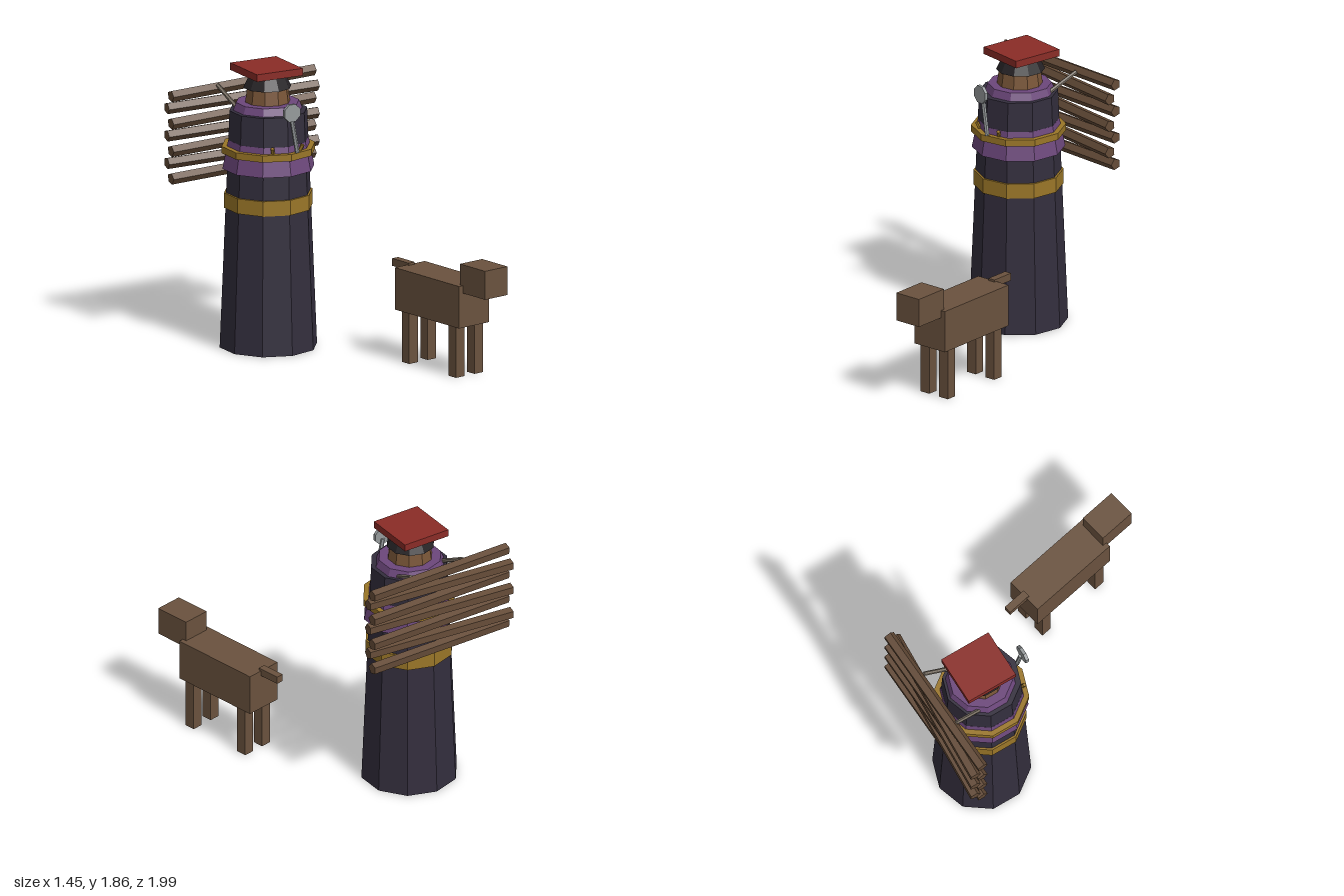
import * as THREE from 'three';

const mat = (color) => new THREE.MeshStandardMaterial({ color, flatShading: true });

export function createModel() {
  const model = new THREE.Group();
  const robe = mat(0x332e3d), purple = mat(0x6c477b), gold = mat(0x9a7628), skin = mat(0x7a5638);
  const black = mat(0x252225), red = mat(0x8a2c27), wood = mat(0x644b37), metal = mat(0x969a9c);
  const fur = mat(0x6a523e), strapMat = mat(0x7a7064);

  const add = (parent, name, geometry, material, x, y, z) => {
    const mesh = new THREE.Mesh(geometry, material);
    mesh.name = name;
    mesh.position.set(x, y, z);
    parent.add(mesh);
    return mesh;
  };

  // Rod running between two points
  const rod = (parent, name, a, b, radius, sides, material) => {
    const from = new THREE.Vector3(...a), to = new THREE.Vector3(...b);
    const dir = to.clone().sub(from);
    const mid = from.clone().add(to).multiplyScalar(0.5);
    const mesh = add(parent, name, new THREE.CylinderGeometry(radius, radius, dir.length(), sides), material, mid.x, mid.y, mid.z);
    mesh.quaternion.setFromUnitVectors(new THREE.Vector3(0, 1, 0), dir.normalize());
    return mesh;
  };

  // Robed figure: stacked ten-sided rings (name, bottom y, top y, bottom radius, top radius, material, z)
  const figure = new THREE.Group();
  figure.name = 'figure';
  model.add(figure);
  const X = -0.185, Z = -0.583;
  const rings = [
    ['robe', 0, 1.575, 0.32, 0.255, robe, Z],
    ['belt', 0.93, 1.03, 0.291, 0.291, gold, Z],
    ['cape', 1.19, 1.38, 0.302, 0.264, purple, Z],
    ['chain', 1.295, 1.34, 0.307, 0.307, gold, Z],
    ['collar', 1.57, 1.625, 0.229, 0.207, purple, Z - 0.01],
    ['head', 1.62, 1.74, 0.148, 0.132, skin, Z - 0.01],
    ['cap', 1.72, 1.815, 0.158, 0.112, black, Z - 0.016],
  ];
  for (const [name, y0, y1, r0, r1, material, z] of rings) {
    add(figure, name, new THREE.CylinderGeometry(r1, r0, y1 - y0, 10), material, X, (y0 + y1) / 2, z);
  }
  add(figure, 'hatBoard', new THREE.BoxGeometry(0.338, 0.048, 0.356), red, X, 1.834, -0.607);

  // Round pendant on a slanted handle
  const disc = add(figure, 'pendantDisc', new THREE.CylinderGeometry(0.062, 0.062, 0.022, 8), metal, X, 1.618, -0.273);
  disc.rotation.set(Math.PI / 2, Math.PI / 8, 0);
  rod(figure, 'pendantHandle', [-0.182, 1.6, -0.286], [-0.136, 1.345, -0.286], 0.015, 6, metal);

  // Chest clasps and shoulder straps, mirrored
  for (const s of [-1, 1]) {
    rod(figure, 'clasp', [X + s * 0.098, 1.335, -0.345], [X + s * 0.112, 1.38, -0.328], 0.013, 5, gold);
    rod(figure, 'strap', [X + s * 0.168, 1.58, -0.7], [X + s * 0.198, 1.685, -0.9], 0.014, 6, strapMat);
  }

  // Stack of logs on the back, slanting in alternate directions
  const logs = new THREE.Group();
  logs.name = 'logs';
  model.add(logs);
  for (let i = 0; i < 7; i++) {
    const even = i % 2 === 0;
    const y = 1.668 - i * 0.0915;
    rod(logs, 'log', [-0.724, y - 0.016, even ? -0.908 : -0.962], [0.356, y + 0.016, even ? -0.955 : -0.908], 0.039, 5, wood);
  }

  // Four-legged animal, facing forward along its own z
  const animal = new THREE.Group();
  animal.name = 'animal';
  animal.position.set(0.524, 0, 0.446);
  animal.rotation.y = 0.2;
  model.add(animal);
  add(animal, 'body', new THREE.BoxGeometry(0.254, 0.28, 0.637), fur, 0, 0.48, 0);
  add(animal, 'muzzleHead', new THREE.BoxGeometry(0.19, 0.19, 0.25), fur, 0, 0.665, 0.414);
  add(animal, 'tail', new THREE.BoxGeometry(0.05, 0.05, 0.165), fur, 0, 0.61, -0.382);
  for (const sx of [-1, 1]) {
    for (const sz of [-1, 1]) {
      add(animal, 'leg', new THREE.BoxGeometry(0.073, 0.35, 0.073), fur, sx * 0.078, 0.175, sz * 0.232 + 0.005);
    }
  }
  return model;
}
